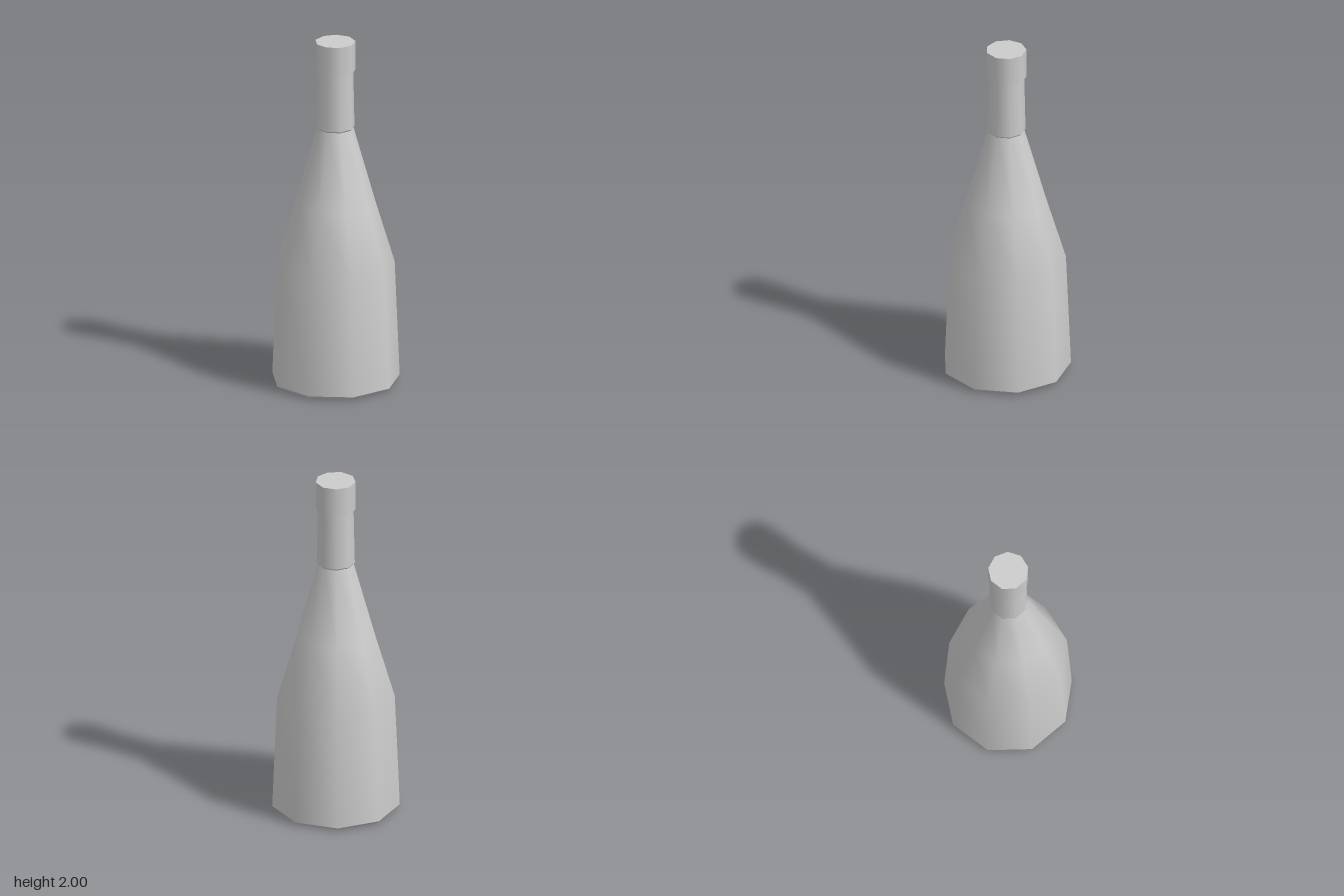
import * as THREE from 'three';

const SIDES = 9;

export function createModel() {
  const group = new THREE.Group();
  group.name = 'bottle';
  const material = new THREE.MeshStandardMaterial({ color: 0xcccccc });

  // Nine-sided turned part; a corner points to +x
  function turned(name, profile) {
    const points = profile.map(([r, y]) => new THREE.Vector2(r, y));
    const mesh = new THREE.Mesh(new THREE.LatheGeometry(points, SIDES, Math.PI / 2), material);
    mesh.name = name;
    mesh.position.x = -0.011; // centres the odd-sided outline
    group.add(mesh);
  }

  // Base with its small bevel
  turned('base', [[0, 0], [0.343, 0.003], [0.361, 0.02]]);
  // Tapered body and long sloping shoulder
  turned('body', [[0.361, 0.02], [0.333, 0.69], [0.222, 1.06], [0.102, 1.492]]);
  // Neck, slightly overhanging the shoulder
  turned('neckLip', [[0.102, 1.492], [0.108, 1.5]]);
  turned('neck', [[0.108, 1.5], [0.101, 1.828]]);
  // Cap: underside, wall and flat top
  turned('capUnderside', [[0.101, 1.828], [0.113, 1.83]]);
  turned('cap', [[0.113, 1.83], [0.113, 2]]);
  turned('capTop', [[0.113, 2], [0, 2]]);

  return group;
}
